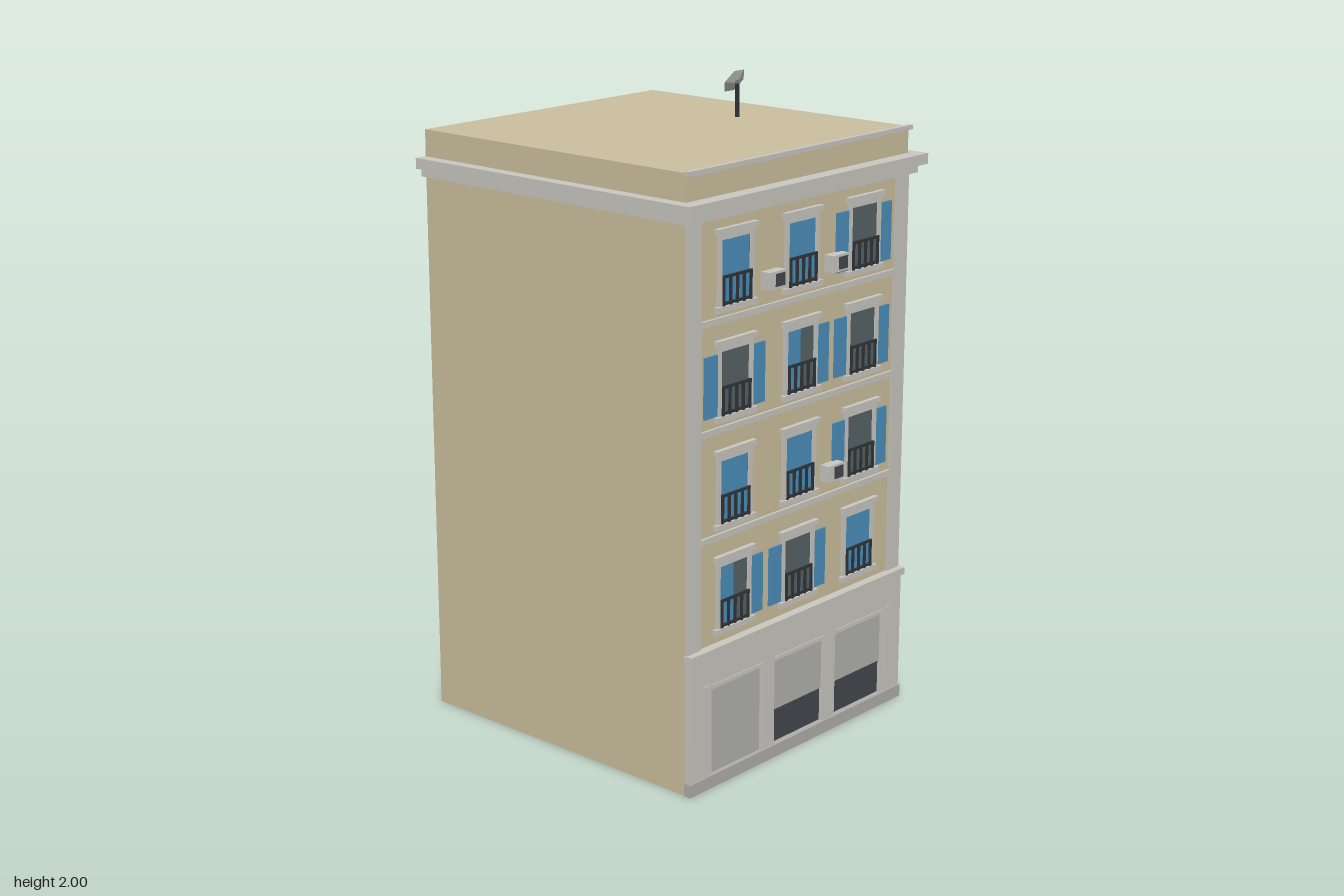
import * as THREE from 'three';

export function createModel() {
  const root = new THREE.Group();
  root.name = 'townhouse';
  const mat = (name, color) => {
    const m = new THREE.MeshStandardMaterial({ color });
    m.name = name;
    return m;
  };
  const plaster = mat('plaster', 0xcabf9e);
  const stone = mat('stone', 0xc8c7c0);
  const plinthGrey = mat('plinthGrey', 0xafaeaa);
  const rollGrey = mat('rollerGrey', 0xb0b0ad);
  const shopDark = mat('shopDark', 0x42464c);
  const glass = mat('glass', 0x566267);
  const blue = mat('shutterBlue', 0x4a8ebb);
  const iron = mat('iron', 0x2f3437);
  const dishGrey = mat('dishGrey', 0xc2c2be);
  dishGrey.side = THREE.DoubleSide;

  // Box given by its limits on each axis
  const box = (parent, name, m, x0, x1, y0, y1, z0, z1) => {
    const mesh = new THREE.Mesh(new THREE.BoxGeometry(x1 - x0, y1 - y0, z1 - z0), m);
    mesh.position.set((x0 + x1) / 2, (y0 + y1) / 2, (z0 + z1) / 2);
    mesh.name = name;
    parent.add(mesh);
    return mesh;
  };
  // Wall plate with rectangular openings
  const rectPoints = (x0, x1, y0, y1) =>
    [[x0, y0], [x1, y0], [x1, y1], [x0, y1]].map(p => new THREE.Vector2(...p));
  const plate = (parent, name, m, rect, holes, z0, depth) => {
    const shape = new THREE.Shape(rectPoints(...rect));
    holes.forEach(h => shape.holes.push(new THREE.Path(rectPoints(...h).reverse())));
    const mesh = new THREE.Mesh(new THREE.ExtrudeGeometry(shape, { depth, bevelEnabled: false }), m);
    mesh.position.z = z0;
    mesh.name = name;
    parent.add(mesh);
  };

  // Main block, roof edge and cornice
  box(root, 'body', plaster, -0.508, 0.508, 0, 1.857, -0.548, 0.5);
  box(root, 'parapetCap', stone, -0.512, 0.512, 1.848, 1.862, 0.497, 0.513);
  box(root, 'corniceTop', stone, -0.547, 0.547, 1.742, 1.775, -0.55, 0.548);
  box(root, 'corniceBottom', stone, -0.526, 0.526, 1.716, 1.742, -0.55, 0.527);

  // Corner pilasters and floor bands
  for (const s of [-1, 1]) {
    box(root, 'pilaster', stone, s < 0 ? -0.508 : 0.448, s < 0 ? -0.448 : 0.508, 0.44, 1.716, 0.499, 0.507);
  }
  for (const y of [0.772, 1.094, 1.417]) {
    box(root, 'floorBand', stone, -0.45, 0.45, y - 0.009, y + 0.009, 0.499, 0.509);
  }

  // Ground floor with three shop fronts and narrow side slots
  const shops = [[-0.41, -0.18, 0.04], [-0.12, 0.117, 0.148], [0.175, 0.415, 0.148]];
  const openings = shops.map(([a, b]) => [a, b, 0.035, 0.315]);
  openings.push([-0.443, -0.421, 0.035, 0.33], [0.421, 0.443, 0.035, 0.33]);
  plate(root, 'shopWall', stone, [-0.509, 0.509, 0.02, 0.425], openings, 0.499, 0.018);
  for (const [a, b, bottom] of shops) {
    box(root, 'shopGlass', shopDark, a, b, 0.035, 0.315, 0.499, 0.503);
    box(root, 'rollerShutter', rollGrey, a, b, bottom, 0.315, 0.499, 0.508);
    box(root, 'rollerHousing', stone, a, b, 0.313, 0.326, 0.515, 0.52);
  }
  box(root, 'sidePost', stone, -0.446, -0.428, 0.04, 0.33, 0.499, 0.521);
  box(root, 'sidePost', stone, 0.432, 0.446, 0.04, 0.33, 0.499, 0.521);
  box(root, 'plinth', plinthGrey, -0.511, 0.511, 0, 0.04, 0.499, 0.523);
  box(root, 'shopLedge', stone, -0.513, 0.513, 0.42, 0.443, 0.499, 0.529);

  // One window; each leaf is closed (C), folded open on the wall (O) or missing (-)
  const addWindow = (cx, top, leaves) => {
    const g = new THREE.Group();
    g.name = 'window';
    g.position.set(cx, top, 0);
    root.add(g);
    const w = 0.063;
    plate(g, 'frame', stone, [-0.077, 0.077, -0.228, -0.014], [[-w, w, -0.222, -0.034]], 0.499, 0.01);
    box(g, 'lintel', stone, -0.088, 0.088, -0.016, 0, 0.499, 0.516);
    box(g, 'sill', stone, -0.088, 0.088, -0.241, -0.224, 0.499, 0.516);
    box(g, 'glass', glass, -w, w, -0.224, -0.032, 0.499, 0.502);
    [-1, 1].forEach((s, i) => {
      if (leaves[i] === 'C') {
        const a = s < 0 ? -0.059 : 0.001;
        box(g, 'closedShutter', blue, a, a + 0.058, -0.224, -0.037, 0.5, 0.505);
      } else if (leaves[i] === 'O') {
        const a = s < 0 ? -0.133 : 0.077;
        box(g, 'openShutter', blue, a, a + 0.056, -0.222, -0.04, 0.499, 0.506);
      }
    });
    // Iron railing
    for (const y of [-0.14, -0.217]) {
      box(g, 'rail', iron, -0.063, 0.063, y - 0.004, y + 0.004, 0.508, 0.514);
    }
    for (let i = 0; i < 5; i++) {
      const x = -0.059 + i * 0.0295;
      box(g, 'railBar', iron, x - 0.004, x + 0.004, -0.224, -0.14, 0.508, 0.514);
    }
  };
  const columns = [-0.3, -0.003, 0.293];
  const floors = [
    [1.682, ['CC', 'CC', 'OO']],
    [1.359, ['OO', 'CO', 'OO']],
    [1.034, ['CC', 'CC', 'OO']],
    [0.712, ['CO', 'OO', 'CC']],
  ];
  for (const [top, row] of floors) row.forEach((leaves, i) => addWindow(columns[i], top, leaves));

  // Air conditioners with a dark grille
  for (const [x, y] of [[-0.148, 1.5], [0.145, 1.5], [0.143, 0.85]]) {
    box(root, 'airConditioner', stone, x - 0.037, x + 0.037, y - 0.026, y + 0.026, 0.499, 0.534);
    box(root, 'grille', shopDark, x - 0.01, x + 0.031, y - 0.019, y + 0.019, 0.533, 0.536);
  }

  // Roof antenna: pole and shallow tilted dish
  box(root, 'antennaPole', iron, 0.284, 0.294, 1.85, 1.96, 0, 0.01);
  const dish = new THREE.Mesh(
    new THREE.CylinderGeometry(0.045, 0.012, 0.01, 6, 1).toNonIndexed(), dishGrey);
  dish.geometry.computeVertexNormals();
  dish.geometry.rotateY(Math.PI / 6 + Math.PI / 3);
  dish.name = 'antennaDish';
  dish.position.set(0.292, 1.965, -0.006);
  dish.rotation.x = -Math.PI / 3;
  root.add(dish);

  return root;
}
